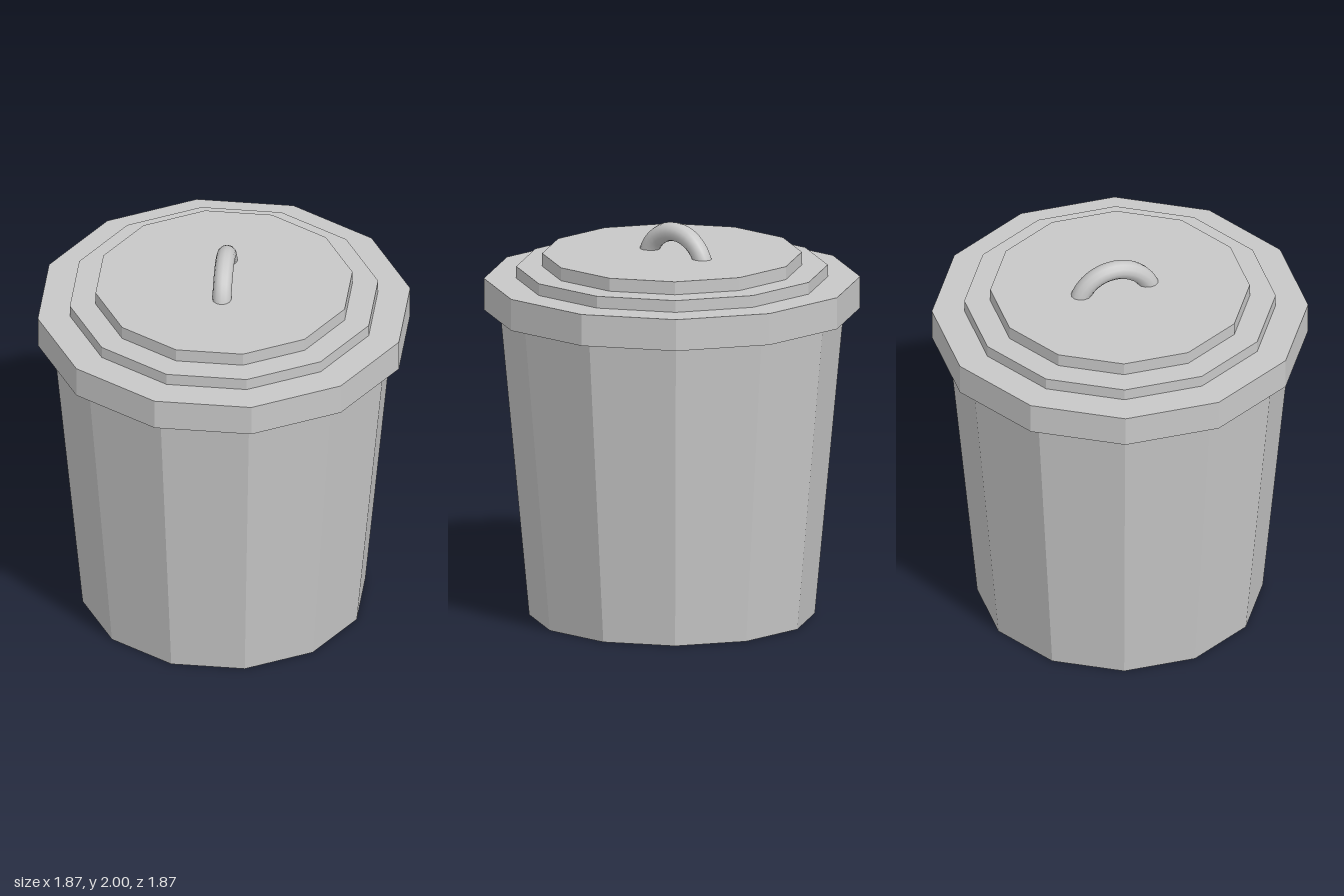
import * as THREE from 'three';

export function createModel() {
  const group = new THREE.Group();
  const metal = new THREE.MeshStandardMaterial({ color: 0xc8c8c8, flatShading: true });
  metal.name = 'grey metal';
  const smoothMetal = new THREE.MeshStandardMaterial({ color: 0xc8c8c8 });
  smoothMetal.name = 'smooth grey metal';

  // Twelve-sided drum between two heights
  function drum(name, bottomRadius, topRadius, y0, y1) {
    const geometry = new THREE.CylinderGeometry(topRadius, bottomRadius, y1 - y0, 12);
    const mesh = new THREE.Mesh(geometry, metal);
    mesh.name = name;
    mesh.position.y = (y0 + y1) / 2;
    group.add(mesh);
  }

  // Tapered bin and stepped lid
  drum('body', 0.71, 0.855, 0, 1.556);
  drum('lidRim', 0.935, 0.935, 1.556, 1.716);
  drum('lidMiddleStep', 0.774, 0.774, 1.716, 1.776);
  drum('lidTopStep', 0.645, 0.645, 1.776, 1.842);

  // Arched handle, set slightly askew and sunk into the lid
  const handle = new THREE.Mesh(
    new THREE.TorusGeometry(0.194, 0.0475, 12, 20, Math.PI), smoothMetal);
  handle.name = 'lidHandle';
  handle.position.set(0.009, 1.7585, -0.026);
  handle.rotation.y = THREE.MathUtils.degToRad(76.5);
  group.add(handle);

  return group;
}
